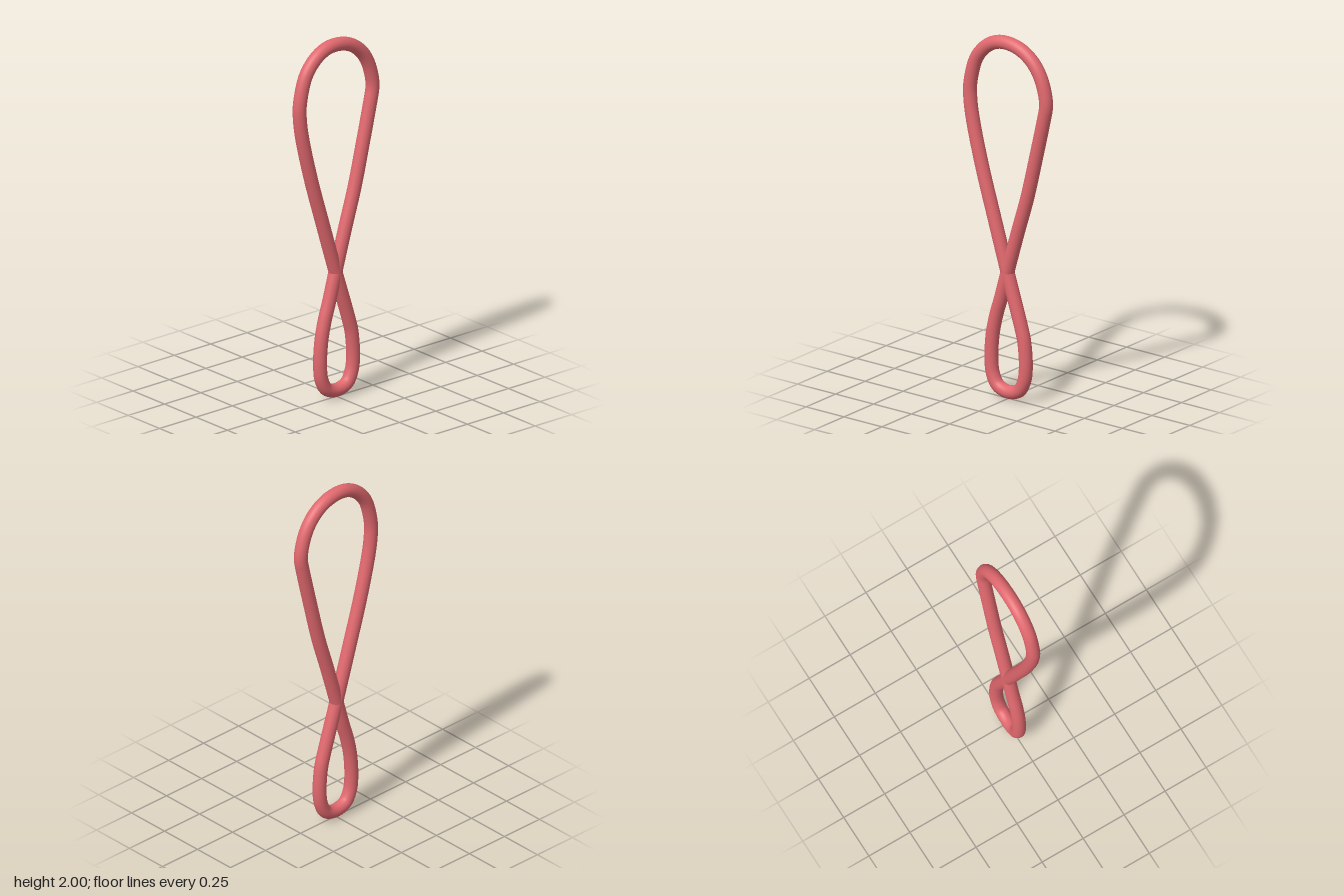
import * as THREE from 'three';

export function createModel() {
  const group = new THREE.Group();
  group.name = 'twistedLoop';

  // Centreline as [z, y]: a flat figure of eight with a large upper and small lower loop
  const path = [
    [-0.246, 1.655], [-0.237, 1.61], [-0.182, 1.375], [-0.124, 1.14], [-0.06, 0.93], [0.007, 0.7],
    [0.052, 0.54], [0.08, 0.45], [0.104, 0.34], [0.113, 0.2], [0.103, 0.12], [0.07, 0.062], [0, 0.04],
    [-0.07, 0.062], [-0.103, 0.12], [-0.114, 0.2], [-0.103, 0.34], [-0.085, 0.41], [0.007, 0.7],
    [0.093, 0.98], [0.177, 1.26], [0.236, 1.5], [0.251, 1.6], [0.253, 1.68],
    // rounded top
    [0.22, 1.82], [0.182, 1.882], [0.128, 1.931], [0.068, 1.958], [0.007, 1.964],
    [-0.06, 1.953], [-0.12, 1.925], [-0.178, 1.873], [-0.216, 1.81], [-0.24, 1.735], [-0.247, 1.69],
  ].map(([z, y]) => new THREE.Vector3(0, y, z));

  const curve = new THREE.CatmullRomCurve3(path, true, 'centripetal');
  const loop = new THREE.Mesh(
    new THREE.TubeGeometry(curve, 280, 0.0365, 32, true),
    new THREE.MeshStandardMaterial({ color: 0xe0686e })
  );
  loop.name = 'loopTube';
  group.add(loop);
  return group;
}
